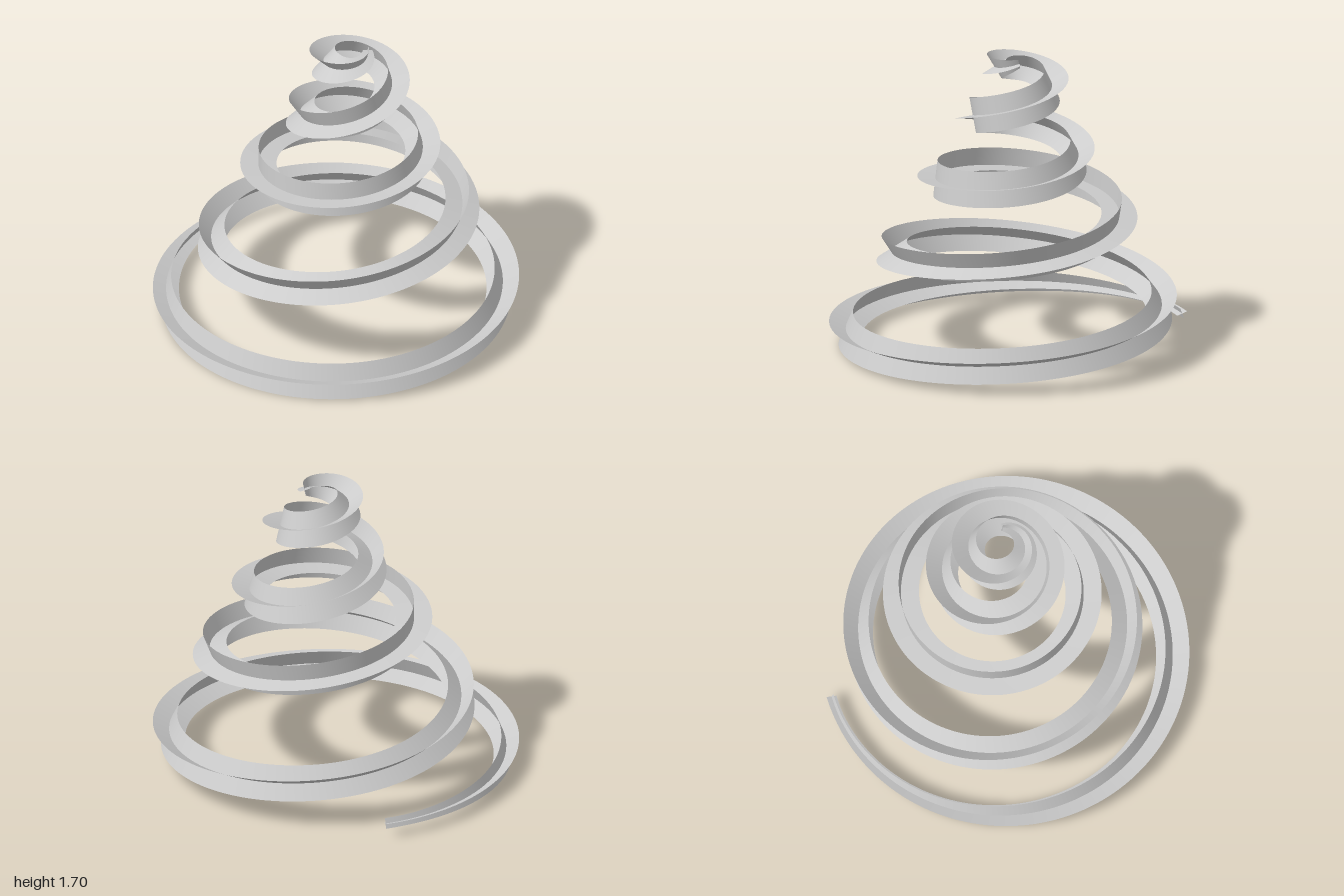
import * as THREE from 'three';

// Values at every quarter turn of the coil, bottom to top
const RADIUS = [1.0, 0.965, 0.905, 0.855, 0.79, 0.73, 0.66, 0.615, 0.545, 0.49, 0.43, 0.38, 0.315, 0.27, 0.235, 0.22, 0.175, 0.145, 0.115, 0.085];
const HEIGHT = [0.085, 0.09, 0.115, 0.195, 0.31, 0.46, 0.595, 0.71, 0.83, 0.93, 1.005, 1.075, 1.175, 1.275, 1.385, 1.485, 1.56, 1.605, 1.64, 1.68];
const TWIST = [20, 22, 24, 28, 38, 50, 60, 72, 86, 92, 99, 108, 122, 150, 178, 197, 207, 225, 245, 260];
const SIZE = [0.03, 0.092, 0.1, 0.1, 0.1, 0.1, 0.1, 0.1, 0.1, 0.1, 0.1, 0.1, 0.1, 0.1, 0.1, 0.1, 0.1, 0.095, 0.06, 0.02];

const START = -0.02, END = 4.69, STEPS = 900;

// Smooth interpolation between the quarter-turn values
function sample(keys, t) {
  const s = THREE.MathUtils.clamp(t * 4, 0, keys.length - 1);
  const i = Math.min(Math.floor(s), keys.length - 2), f = s - i;
  const a = keys[Math.max(i - 1, 0)], b = keys[i], c = keys[i + 1], d = keys[Math.min(i + 2, keys.length - 1)];
  return b + 0.5 * f * (c - a + f * (2 * a - 5 * b + 4 * c - d + f * (3 * (b - c) + d - a)));
}

// Centre line of the conical coil, t in turns
function centre(t) {
  const r = sample(RADIUS, t), a = t * Math.PI * 2;
  const cx = Math.min(0.1, 0.05 + 0.02 * t);
  return new THREE.Vector3(cx - r * Math.sin(a), sample(HEIGHT, t), 0.02 - r * Math.cos(a));
}

// Thin ribbon swept along the coil, turned about it by the twist plus an offset
function ribbon(name, offset, material) {
  const positions = [], index = [];
  for (let i = 0; i <= STEPS; i++) {
    const t = START + (END - START) * i / STEPS;
    const p = centre(t), a = t * Math.PI * 2;
    const tangent = centre(t + 0.004).sub(centre(t - 0.004)).normalize();
    const out = new THREE.Vector3(-Math.sin(a), 0, -Math.cos(a));
    out.addScaledVector(tangent, -out.dot(tangent)).normalize();
    const up = new THREE.Vector3().crossVectors(out, tangent).normalize();
    if (up.y < 0) up.negate();
    const turn = THREE.MathUtils.degToRad(sample(TWIST, t)) + offset;
    const arm = out.multiplyScalar(Math.cos(turn)).addScaledVector(up, Math.sin(turn)).multiplyScalar(sample(SIZE, t));
    for (const side of [-1, 0, 1]) positions.push(...p.clone().addScaledVector(arm, side).toArray());
    if (i < STEPS) {
      for (let j = 0; j < 2; j++) {
        const q = i * 3 + j;
        index.push(q, q + 1, q + 3, q + 1, q + 4, q + 3);
      }
    }
  }
  const geometry = new THREE.BufferGeometry();
  geometry.setAttribute('position', new THREE.Float32BufferAttribute(positions, 3));
  geometry.setIndex(index);
  geometry.computeVertexNormals();
  const mesh = new THREE.Mesh(geometry, material);
  mesh.name = name;
  return mesh;
}

export function createModel() {
  const group = new THREE.Group();
  group.name = 'spiralTree';
  const material = new THREE.MeshStandardMaterial({ color: 0xcccccc, side: THREE.DoubleSide });
  // Two ribbons crossing at right angles along the same coil
  group.add(ribbon('finRibbon', 0, material));
  group.add(ribbon('crossRibbon', Math.PI / 2, material));
  return group;
}
